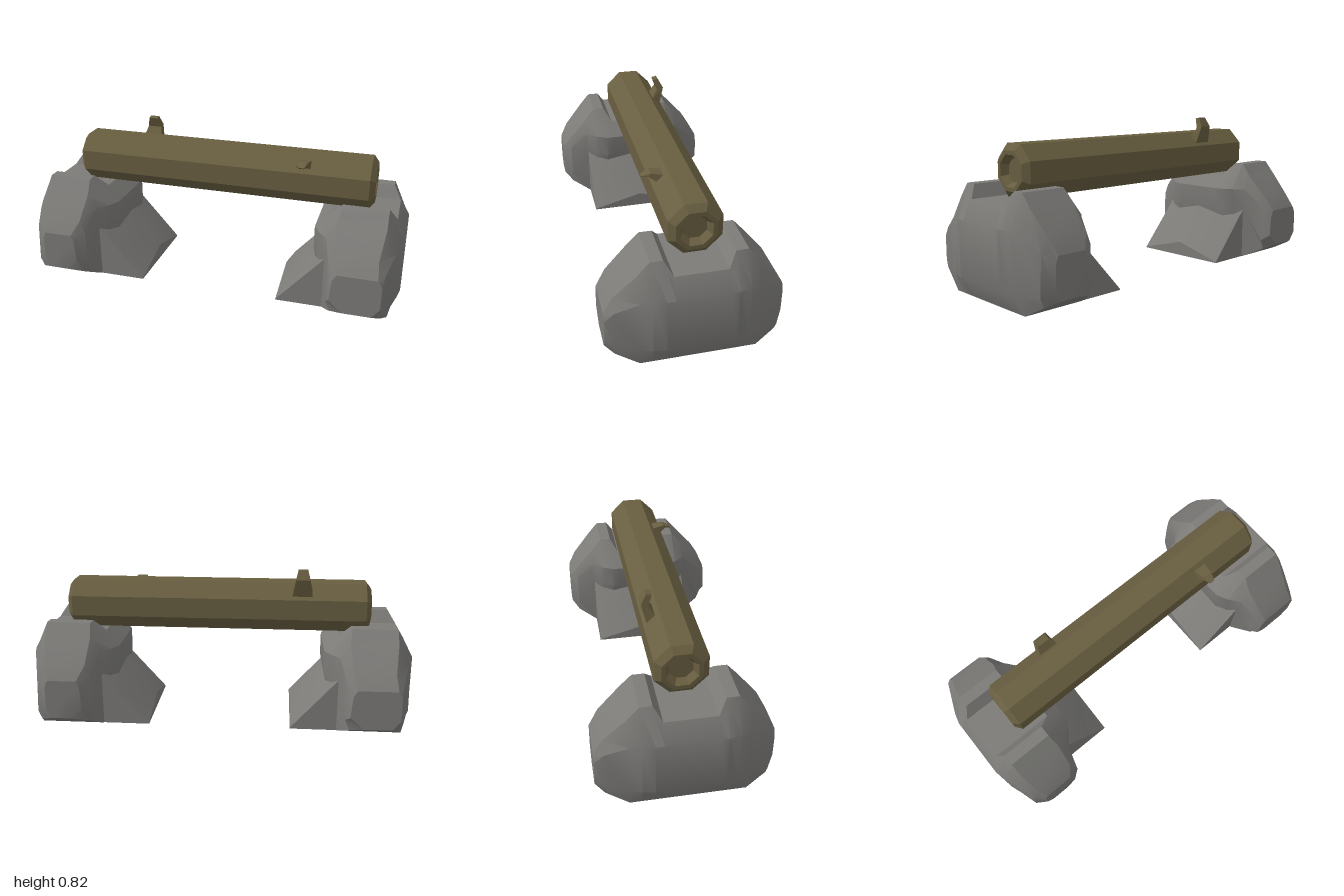
import * as THREE from 'three';
import { toCreasedNormals, mergeVertices } from 'three/addons/utils/BufferGeometryUtils.js';

// Skin a list of rings (arrays of [x, y, z]) and close both ends.
function loft(rings, crease) {
  const pos = [];
  const tri = (a, b, c) => pos.push(...a, ...b, ...c);
  const n = rings[0].length;
  for (let i = 0; i < rings.length - 1; i++) {
    for (let j = 0; j < n; j++) {
      const k = (j + 1) % n;
      const a = rings[i][j], b = rings[i][k], c = rings[i + 1][k], d = rings[i + 1][j];
      tri(a, b, c);
      tri(a, c, d);
    }
  }
  const centre = (r) => [0, 1, 2].map((q) => r.reduce((s, p) => s + p[q], 0) / n);
  const first = rings[0], last = rings[rings.length - 1];
  const c0 = centre(first), c1 = centre(last);
  for (let j = 0; j < n; j++) {
    const k = (j + 1) % n;
    tri(c0, first[k], first[j]);
    tri(c1, last[j], last[k]);
  }
  const g = new THREE.BufferGeometry();
  g.setAttribute('position', new THREE.Float32BufferAttribute(pos, 3));
  return toCreasedNormals(mergeVertices(g), crease);
}

const at = (z, outline) => outline.map(([x, y]) => [x, y, z]);

const stone = new THREE.MeshStandardMaterial({ color: 0x7c7b78 });
const wood = new THREE.MeshStandardMaterial({ color: 0x685e40 });
const cutWood = new THREE.MeshStandardMaterial({ color: 0x685e40, flatShading: true });

function mesh(name, geometry, material) {
  const m = new THREE.Mesh(geometry, material);
  m.name = name;
  return m;
}

// Boulder with a saddle between two horns, and a sloping foot on its inner side.
function boulder(name) {
  const saddle = [[0.95, 0], [1, 0.1], [1, 0.38], [0.95, 0.475], [0.62, 0.475], [0.545, 0.4], [0.545, 0.28], [0.62, 0]];
  const hornIn = [[0.95, 0], [1, 0.1], [1, 0.38], [0.91, 0.54], [0.68, 0.54], [0.545, 0.4], [0.545, 0.28], [0.62, 0]];
  const hornOut = [[0.95, 0], [0.99, 0.1], [0.985, 0.375], [0.91, 0.54], [0.68, 0.54], [0.575, 0.4], [0.575, 0.28], [0.62, 0]];
  const shoulder = [[0.95, 0], [0.97, 0.1], [0.965, 0.36], [0.91, 0.475], [0.67, 0.475], [0.62, 0.4], [0.62, 0.28], [0.62, 0]];
  const brow = [[0.92, 0.055], [0.94, 0.1], [0.93, 0.3], [0.89, 0.357], [0.68, 0.357], [0.655, 0.3], [0.65, 0.11], [0.67, 0.055]];
  const frontCap = [[0.88, 0.08], [0.92, 0.13], [0.92, 0.25], [0.9, 0.285], [0.7, 0.285], [0.68, 0.25], [0.67, 0.14], [0.74, 0.08]];
  const backCap = frontCap.map(([x, y]) => [0.79 + (x - 0.795) * 0.75, y]);
  const half = [[0.125, saddle], [0.165, hornIn], [0.225, hornOut], [0.28, shoulder], [0.39, brow]];
  const rings = [
    at(-0.42, backCap),
    ...half.slice().reverse().map(([z, o]) => at(z === 0.39 ? -0.38 : -z, o)),
    ...half.map(([z, o]) => at(z, o)),
    at(0.435, frontCap),
  ];
  const straight = [[0.72, 0], [0.72, 0.28], [0.62, 0.28], [0.5, 0.145], [0.375, 0.005], [0.375, 0]];
  const bulged = [[0.72, 0], [0.72, 0.3], [0.545, 0.28], [0.46, 0.19], [0.375, 0.08], [0.375, 0]];
  const g = new THREE.Group();
  g.name = name;
  g.add(mesh('rock', loft(rings, 0.5), stone));
  g.add(mesh('rockFoot', loft([at(-0.277, straight), at(0, bulged), at(0.277, straight)], 0.5), stone));
  return g;
}

// Twig: each step is [z, y] of one edge, [z, y] of the other, and half width.
function twig(name, x, steps) {
  const rings = steps.map(([[z0, y0], [z1, y1], w]) => [
    [x - w, y0, z0], [x + w, y0, z0], [x + w, y1, z1], [x - w, y1, z1],
  ]);
  return mesh(name, loft(rings, 0.2), wood);
}

export function createModel() {
  const model = new THREE.Group();
  model.name = 'logBench';

  // Supports, the second one turned half way round
  const leftRock = boulder('leftBoulder');
  const rightRock = boulder('rightBoulder');
  rightRock.rotation.y = Math.PI;
  model.add(leftRock, rightRock);

  // Eight-sided log with chamfered, hollowed ends
  const half = 0.805;
  const end = [[0, 0.035], [0.056, 0.035], [0.076, 0], [0.096, 0], [0.128, 0.027]];
  const k = 1 / Math.cos(Math.PI / 8);
  const profile = [
    ...end.map(([r, d]) => new THREE.Vector2(r * k, d - half)),
    ...end.slice().reverse().map(([r, d]) => new THREE.Vector2(r * k, half - d)),
  ];
  const logGeometry = new THREE.LatheGeometry(profile, 8, Math.PI / 8);
  logGeometry.rotateZ(-Math.PI / 2);
  const log = mesh('log', logGeometry, cutWood);
  log.position.set(0.02, 0.608, -0.008);
  model.add(log);

  // Branch stubs
  model.add(twig('backTwig', -0.425, [
    [[-0.07, 0.7], [-0.115, 0.66], 0.055],
    [[-0.11, 0.762], [-0.145, 0.77], 0.037],
    [[-0.09, 0.815], [-0.117, 0.821], 0.024],
  ]));
  model.add(twig('frontTwig', 0.46, [
    [[0.1, 0.685], [0.06, 0.715], 0.036],
    [[0.138, 0.711], [0.125, 0.726], 0.026],
    [[0.164, 0.704], [0.168, 0.71], 0.014],
  ]));
  return model;
}
